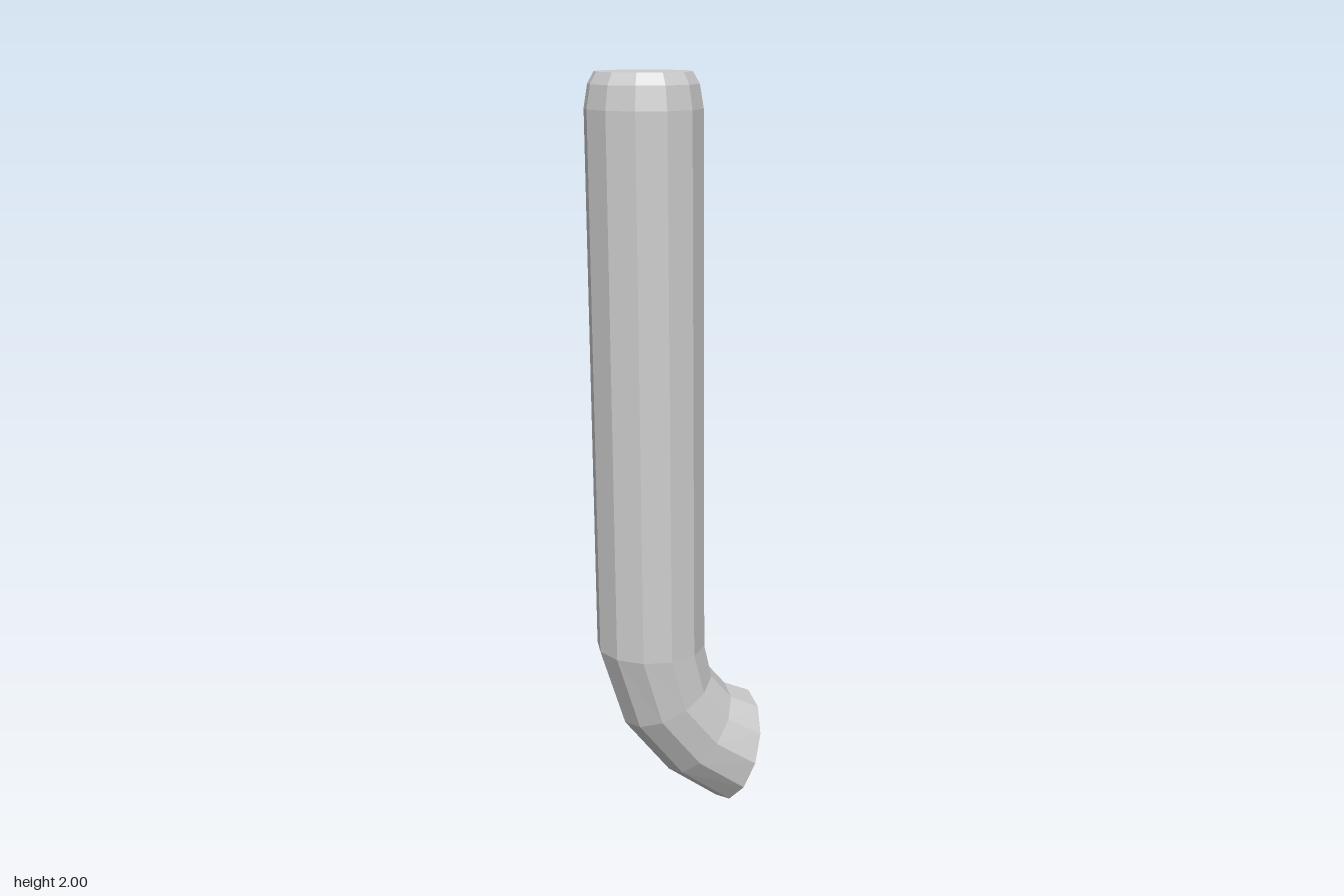
import * as THREE from 'three';

const SIDES = 12;
const PHASE = THREE.MathUtils.degToRad(17.5);
const BEND = new THREE.Vector3(0.94, 0, 0.345).normalize(); // heading of the bend
const DOWN = new THREE.Vector3(0, -1, 0);

// One cross-section: a circle whose normal is tipped from straight down toward BEND
function ring(x, y, z, radius, tiltDeg) {
  const t = THREE.MathUtils.degToRad(tiltDeg);
  const normal = DOWN.clone().multiplyScalar(Math.cos(t)).addScaledVector(BEND, Math.sin(t));
  const turn = new THREE.Quaternion().setFromUnitVectors(DOWN, normal.normalize());
  return Array.from({ length: SIDES }, (_, j) => {
    const a = PHASE + (j / SIDES) * Math.PI * 2;
    return new THREE.Vector3(Math.cos(a) * radius, 0, Math.sin(a) * radius)
      .applyQuaternion(turn).add(new THREE.Vector3(x, y, z));
  });
}

function flatMesh(name, triangles) {
  const geometry = new THREE.BufferGeometry().setFromPoints(triangles);
  geometry.computeVertexNormals();
  const mesh = new THREE.Mesh(geometry, new THREE.MeshStandardMaterial({
    color: 0xcccccc, flatShading: true, side: THREE.DoubleSide,
  }));
  mesh.name = name;
  return mesh;
}

// Skin between consecutive cross-sections, listed from top to bottom
function loft(name, rings) {
  const tris = [];
  for (let i = 0; i < rings.length - 1; i++) {
    for (let j = 0; j < SIDES; j++) {
      const k = (j + 1) % SIDES;
      const [a, b, c, d] = [rings[i][j], rings[i][k], rings[i + 1][j], rings[i + 1][k]];
      tris.push(a, b, c, b, d, c);
    }
  }
  return flatMesh(name, tris);
}

export function createModel() {
  const group = new THREE.Group();
  group.name = 'bentPipe';

  const top = ring(-0.077, 2.0, -0.053, 0.124, 0);
  const shoulder = ring(-0.077, 1.97, -0.053, 0.141, 0);
  const shaftTop = ring(-0.077, 1.91, -0.053, 0.151, 0);
  const shaftBottom = ring(-0.08, 0.49, -0.032, 0.146, 0);

  // Flat closed end
  const centre = new THREE.Vector3(-0.077, 2.0, -0.053);
  const cap = [];
  for (let j = 0; j < SIDES; j++) cap.push(centre, top[(j + 1) % SIDES], top[j]);
  group.add(flatMesh('endCap', cap));

  // Rounded rim and long straight shaft
  group.add(loft('roundedRim', [top, shoulder, shaftTop]));
  group.add(loft('shaft', [shaftTop, shaftBottom]));

  // Elbow sweeping out to the open mouth
  group.add(loft('elbow', [
    shaftBottom,
    ring(-0.04, 0.34, -0.015, 0.138, 28),
    ring(0.048, 0.225, 0.012, 0.142, 53),
    ring(0.152, 0.153, 0.047, 0.158, 71),
  ]));

  return group;
}
